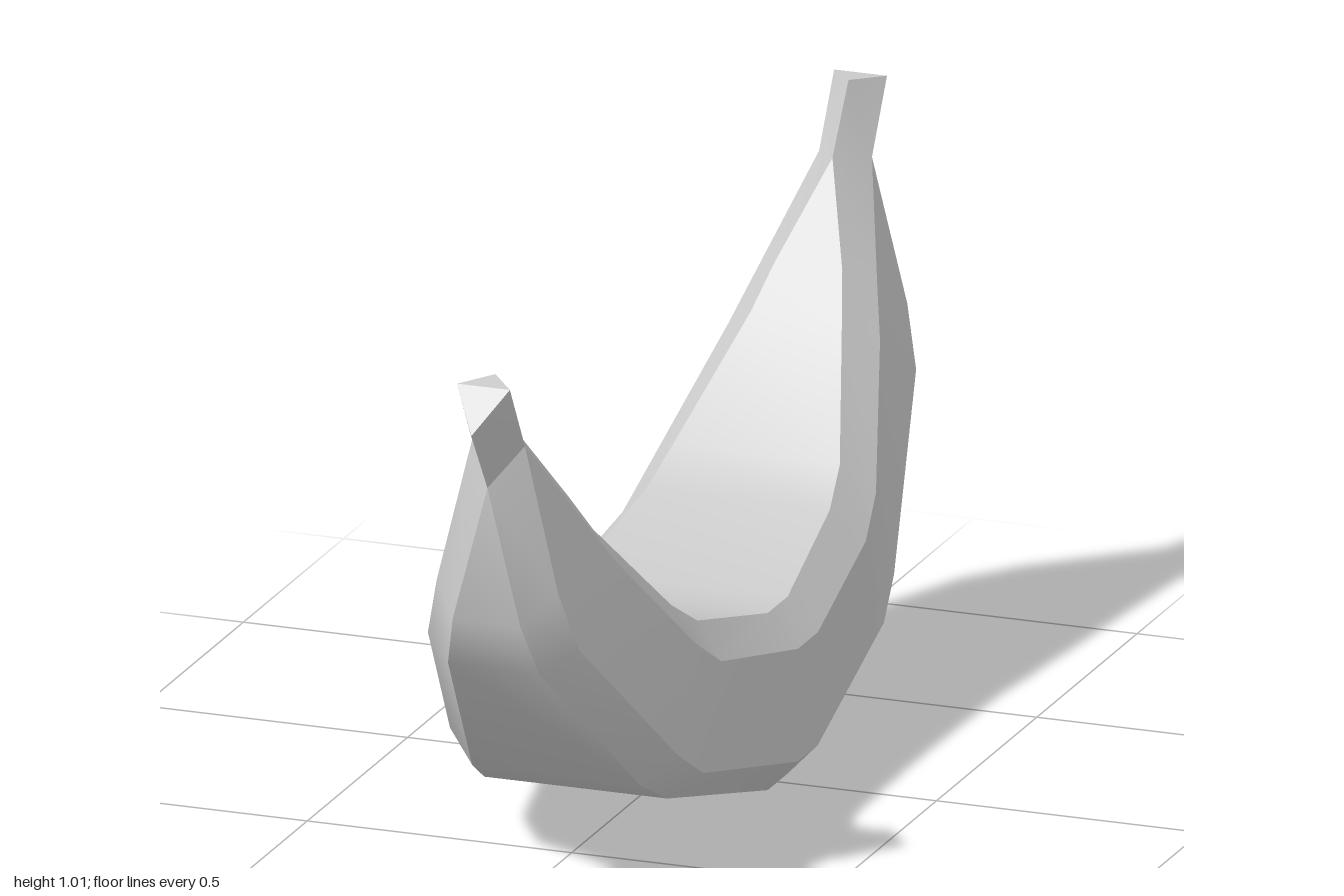
import * as THREE from 'three';
import { toCreasedNormals } from 'three/addons/utils/BufferGeometryUtils.js';

// Stations from the middle to one tip. Each holds the half width of the flats, the half width
// of the sides, then [z, y] of the outer flat, lower side edge, upper side edge and inner flat.
const stations = [
  { flat: 0.2, side: 0.257, line: [[0.05, 0], [0.05, 0.06], [0.05, 0.27], [0.05, 0.33]] },
  { flat: 0.173, side: 0.23, line: [[0.48, 0.115], [0.45, 0.16], [0.36, 0.34], [0.33, 0.4]] },
  { flat: 0.158, side: 0.215, line: [[0.58, 0.17], [0.54, 0.22], [0.45, 0.4], [0.42, 0.455]] },
  { flat: 0.086, side: 0.143, line: [[0.89, 0.465], [0.84, 0.5], [0.66, 0.61], [0.62, 0.65]] },
  { flat: 0.064, side: 0.115, line: [[0.925, 0.56], [0.87, 0.61], [0.72, 0.69], [0.68, 0.725]] },
  { flat: 0, side: 0.05, line: [[0.92, 0.81], [0.865, 0.877], [0.865, 0.877], [0.8, 0.89]] }, // stem base
  { flat: 0, side: 0.05, line: [[1, 0.932], [0.94, 1.005], [0.94, 1.005], [0.88, 1.01]] }, // stem tip
];

// Eight-cornered ring, counter-clockwise seen from +z
function ring({ flat, side, line }, sz) {
  const half = line.map(([z, y], i) => new THREE.Vector3(i === 0 || i === 3 ? flat : side, y, z * sz));
  const other = half.map((p) => new THREE.Vector3(-p.x, p.y, p.z)).reverse();
  return [...half, ...other];
}

export function createModel() {
  const rings = [
    ...stations.map((s) => ring(s, -1)).reverse(),
    ...stations.map((s) => ring(s, 1)),
  ];
  const positions = [];
  const triangle = (a, b, c) => {
    const area = b.clone().sub(a).cross(c.clone().sub(a)).length();
    if (area > 1e-8) for (const p of [a, b, c]) positions.push(p.x, p.y, p.z);
  };

  // Curved skin between neighbouring rings
  for (let i = 0; i < rings.length - 1; i++) {
    for (let j = 0; j < 8; j++) {
      const k = (j + 1) % 8;
      const a = rings[i], b = rings[i + 1];
      triangle(a[j], a[k], b[j]);
      triangle(a[k], b[k], b[j]);
    }
  }

  // Folded caps on both stems
  const front = rings[rings.length - 1], back = rings[0];
  triangle(front[0], front[1], front[6]);
  triangle(front[1], front[3], front[6]);
  triangle(back[0], back[6], back[1]);
  triangle(back[1], back[6], back[3]);

  const geometry = new THREE.BufferGeometry();
  geometry.setAttribute('position', new THREE.Float32BufferAttribute(positions, 3));
  const body = new THREE.Mesh(
    toCreasedNormals(geometry, THREE.MathUtils.degToRad(30)),
    new THREE.MeshStandardMaterial({ color: 0xcccccc }),
  );
  body.name = 'curvedBody';

  const group = new THREE.Group();
  group.name = 'banana';
  group.add(body);
  return group;
}
